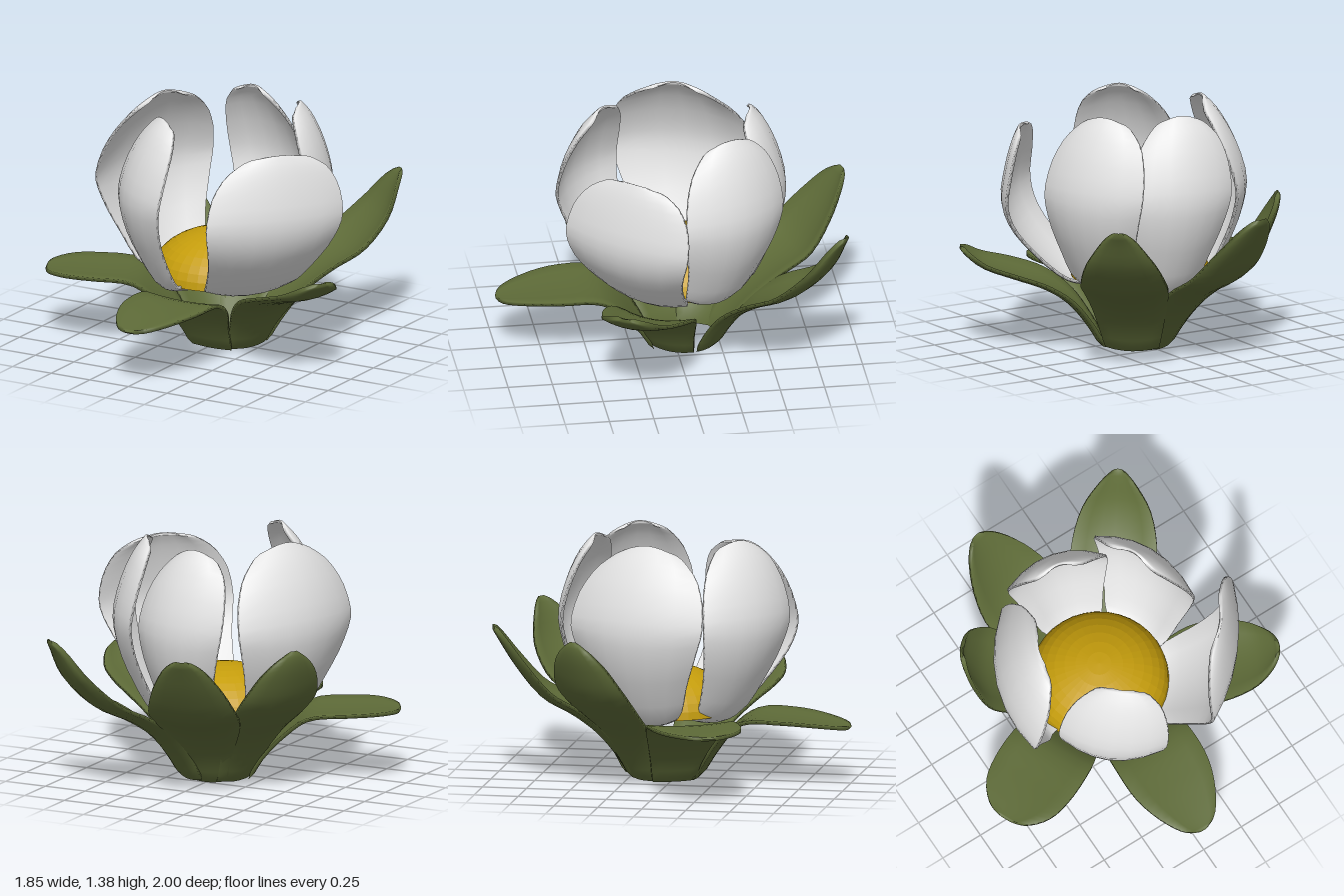
import * as THREE from 'three';

const white = new THREE.MeshStandardMaterial({ color: 0xe4e4e4 });
white.name = 'petalWhite';
const green = new THREE.MeshStandardMaterial({ color: 0x5e6b38 });
green.name = 'sepalGreen';
const yellow = new THREE.MeshStandardMaterial({ color: 0xc59d0c, flatShading: true });
yellow.name = 'centreYellow';

// Thin cupped blade lofted along a spine of stations [outward, height, halfWidth].
// lean shifts the blade sideways, cup lifts its edges towards the inner face.
function bladeGeometry(stations, { lean = 0, cup = 0.1, thick = 0.018, across = 6, along = 24 }) {
  const curve = new THREE.CatmullRomCurve3(
    stations.map(([d, y, w]) => new THREE.Vector3(d, y, w)), false, 'centripetal');
  const maxW = Math.max(...stations.map((s) => s[2]));
  const positions = [], index = [];
  const ring = 2 * (across + 1);
  for (let i = 0; i <= along; i++) {
    const v = i / along;
    const p = curve.getPoint(v);
    const t = curve.getTangent(v);
    const len = Math.hypot(t.x, t.y) || 1;
    const nz = t.y / len, ny = -t.x / len; // towards the outer face
    const w = Math.max(p.z, 0.004);
    const half = i === 0 || i === along ? 0 : thick / 2;
    for (let j = 0; j < ring; j++) {
      const outer = j <= across;
      const u = (outer ? j : ring - 1 - j) / across * 2 - 1;
      const shift = (outer ? half : -half) - cup * u * u * (w / maxW);
      positions.push(u * w + lean * Math.min(1, 0.2 + v), p.y + ny * shift, p.x + nz * shift);
      if (i < along) {
        const a = i * ring + j, b = i * ring + (j + 1) % ring;
        index.push(a, b, b + ring, a, b + ring, a + ring);
      }
    }
  }
  const geometry = new THREE.BufferGeometry();
  geometry.setAttribute('position', new THREE.Float32BufferAttribute(positions, 3));
  geometry.setIndex(index);
  geometry.computeVertexNormals();
  return geometry;
}

// Petal: claw running in under the dome, wide belly, blunt rounded top
function petalStations({ reach, belly, tip, height, half, foot }) {
  const mix = THREE.MathUtils.lerp;
  const y = (f) => mix(0.37, height, f);
  const w = (f) => half * mix(foot, 1, f);
  return [
    [0.06, 0.365, 0.08],
    [reach - 0.1, 0.36, w(-0.2)],
    [reach, 0.39, w(0.05)],
    [mix(reach, belly, 0.5), y(0.19), w(0.4)],
    [mix(reach, belly, 0.87), y(0.38), w(0.78)],
    [belly, y(0.56), half],
    [mix(belly, tip, 0.25), y(0.76), half * 0.94],
    [mix(belly, tip, 0.62), y(0.91), half * 0.74],
    [mix(belly, tip, 0.92), y(0.985), half * 0.46],
    [tip, y(1), half * 0.2],
  ];
}

export function createModel() {
  const group = new THREE.Group();
  group.name = 'flower';

  const add = (name, geometry, material, angle = 0, x = 0, z = 0) => {
    const mesh = new THREE.Mesh(geometry, material);
    mesh.name = name;
    mesh.rotation.y = angle;
    mesh.position.set(x, 0, z);
    group.add(mesh);
    return mesh;
  };

  // Domed centre with a flat underside
  const dome = add('centreDome',
    new THREE.SphereGeometry(0.39, 36, 9, 0, Math.PI * 2, 0, Math.PI / 2), yellow, 0, -0.015, -0.05);
  dome.scale.y = 0.255 / 0.39;
  dome.position.y = 0.4;
  const under = add('centreUnderside', new THREE.CircleGeometry(0.39, 36), yellow, 0, -0.015, -0.05);
  under.rotation.x = Math.PI / 2;
  under.position.y = 0.4;

  // Five petals, each slightly different
  const petals = [
    { angle: -0.707, reach: 0.36, belly: 0.595, tip: 0.38, height: 1.39, half: 0.305, lean: 0.14, foot: 0.5, cup: 0.09 },
    { angle: -1.918, reach: 0.42, belly: 0.63, tip: 0.4, height: 1.39, half: 0.42, lean: 0.065, foot: 0.52, cup: 0.12 },
    { angle: 2.92, reach: 0.43, belly: 0.62, tip: 0.42, height: 1.385, half: 0.295, lean: 0.13, foot: 0.55, cup: 0.1 },
    { angle: 2.016, reach: 0.41, belly: 0.625, tip: 0.44, height: 1.39, half: 0.32, lean: 0.09, foot: 0.58, cup: 0.1 },
    { angle: 0.861, reach: 0.36, belly: 0.715, tip: 0.62, height: 1.26, half: 0.4, lean: 0.14, foot: 0.62, cup: 0.075 },
  ];
  petals.forEach((p, i) => add(`petal${i + 1}`,
    bladeGeometry(petalStations(p), { lean: p.lean, cup: p.cup }), white, p.angle));

  // Six sepals: shared foot height, individual foot width and outer spine
  const sepals = [
    { angle: -0.03, base: 0.13, cup: 0.015, spine: [[0.38, 0.28, 0.22], [0.5, 0.355, 0.24], [0.72, 0.36, 0.235],
      [0.9, 0.345, 0.175], [1.02, 0.33, 0.095], [1.06, 0.325, 0.02]] },
    { angle: -1.146, base: 0.12, cup: 0.015, spine: [[0.4, 0.28, 0.2], [0.53, 0.375, 0.24], [0.75, 0.395, 0.245],
      [0.9, 0.4, 0.21], [1.0, 0.4, 0.12], [1.03, 0.4, 0.03]] },
    { angle: -2.09, base: 0.11, cup: 0.05, spine: [[0.4, 0.3, 0.19], [0.56, 0.43, 0.23], [0.69, 0.56, 0.24],
      [0.77, 0.72, 0.18], [0.8, 0.82, 0.1], [0.8, 0.88, 0.02]] },
    { angle: -2.87, base: 0.1, cup: 0.05, spine: [[0.38, 0.27, 0.19], [0.52, 0.38, 0.24], [0.69, 0.48, 0.25],
      [0.83, 0.65, 0.2], [0.93, 0.81, 0.11], [0.97, 0.88, 0.03]] },
    { angle: 2.494, base: 0.15, cup: 0.05, spine: [[0.38, 0.27, 0.21], [0.54, 0.38, 0.235], [0.74, 0.48, 0.24],
      [0.91, 0.65, 0.19], [1.0, 0.82, 0.09], [1.04, 0.89, 0.02]] },
    { angle: 1.085, base: 0.12, cup: 0.04, spine: [[0.38, 0.27, 0.2], [0.52, 0.36, 0.24], [0.69, 0.42, 0.235],
      [0.86, 0.48, 0.18], [0.95, 0.55, 0.1], [0.98, 0.59, 0.02]] },
  ];
  sepals.forEach(({ angle, base, cup, spine }, i) => add(`sepal${i + 1}`,
    bladeGeometry([[0.19, 0.01, base], [0.27, 0.14, base + 0.03], ...spine], { cup, thick: 0.022 }),
    green, angle, 0.03, -0.06));

  return group;
}
